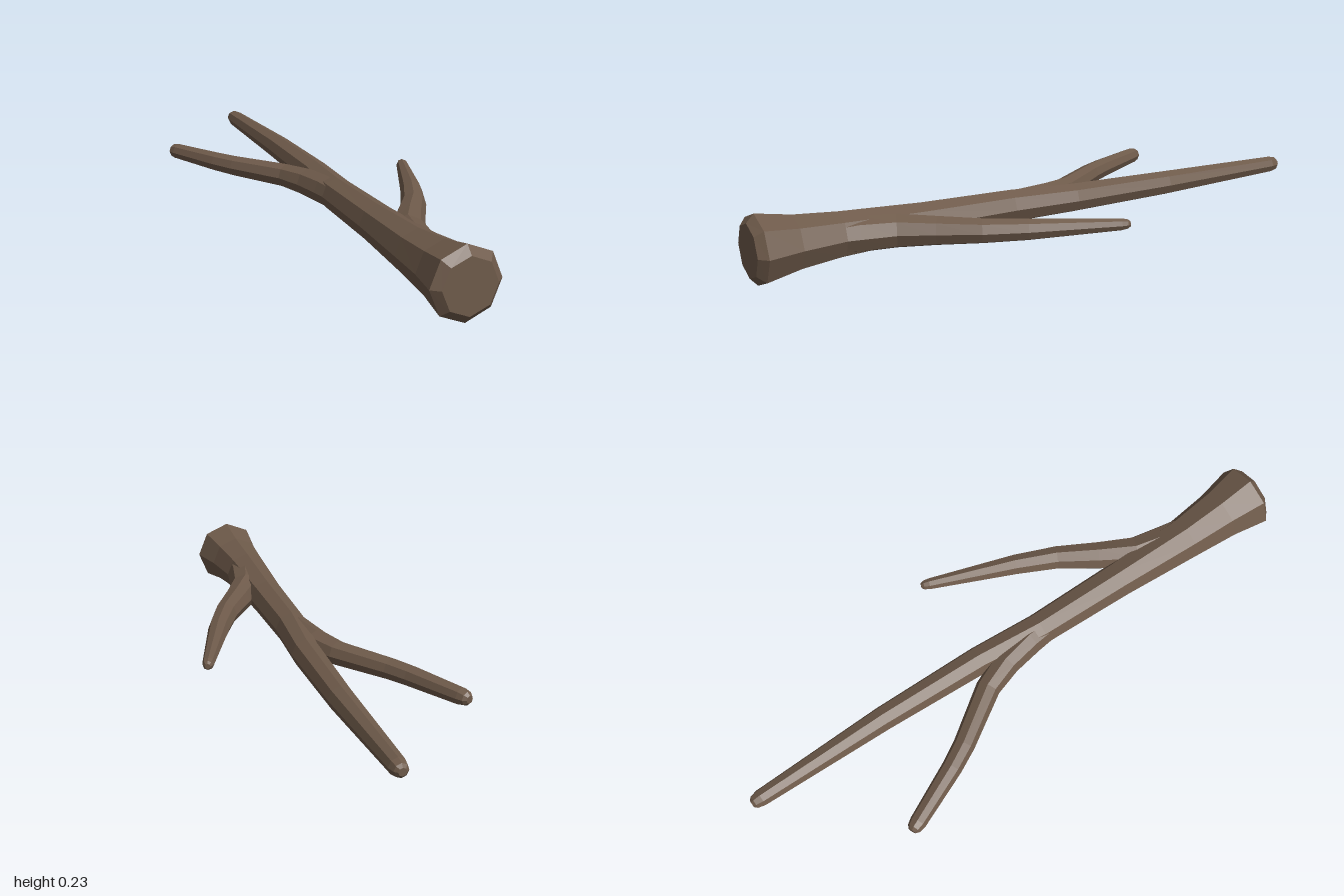
import * as THREE from 'three';

const SIDES = 8;
const AXIS_Y = 0.116;

// Faceted limb lofted through rings given as [x, z, radius], capped at both ends.
function limb(name, rings, material) {
  const centres = rings.map(([x, z]) => new THREE.Vector3(x, AXIS_Y, z));
  const positions = [];
  const index = [];
  rings.forEach(([x, z, r], i) => {
    const d = centres[Math.min(i + 1, rings.length - 1)].clone()
      .sub(centres[Math.max(i - 1, 0)]).normalize();
    for (let k = 0; k < SIDES; k++) {
      const a = (k / SIDES) * Math.PI * 2;
      const side = Math.cos(a) * r;
      positions.push(x - d.z * side, AXIS_Y + Math.sin(a) * r, z + d.x * side);
    }
  });
  for (let i = 0; i < rings.length - 1; i++) {
    for (let k = 0; k < SIDES; k++) {
      const a = i * SIDES + k;
      const b = i * SIDES + ((k + 1) % SIDES);
      index.push(a, a + SIDES, b, b, a + SIDES, b + SIDES);
    }
  }
  const last = (rings.length - 1) * SIDES;
  for (let k = 1; k < SIDES - 1; k++) {
    index.push(0, k, k + 1, last, last + k + 1, last + k);
  }
  const geometry = new THREE.BufferGeometry();
  geometry.setAttribute('position', new THREE.Float32BufferAttribute(positions, 3));
  geometry.setIndex(index);
  geometry.computeVertexNormals();
  const mesh = new THREE.Mesh(geometry, material);
  mesh.name = name;
  return mesh;
}

export function createModel() {
  const group = new THREE.Group();
  group.name = 'branch';
  const bark = new THREE.MeshStandardMaterial({ color: 0x6e5a4a, flatShading: true });

  // Main stem: flared, bevelled cut end tapering to a rounded tip
  group.add(limb('mainStem', [
    [-0.025, 0.995, 0.088], [-0.025, 0.97, 0.115], [-0.028, 0.85, 0.091],
    [-0.03, 0.7, 0.076], [-0.022, 0.42, 0.062], [-0.013, 0.1, 0.056],
    [0.012, -0.13, 0.049], [0.027, -0.5, 0.042], [0.031, -0.965, 0.029],
    [0.031, -0.99, 0.023], [0.031, -1.0, 0.013],
  ], bark));

  // Side twig on the model's left
  group.add(limb('leftTwig', [
    [-0.02, 0.78, 0.05], [-0.005, 0.65, 0.06], [0.025, 0.53, 0.056],
    [0.09, 0.42, 0.048], [0.165, 0.3, 0.041], [0.225, 0.17, 0.036],
    [0.335, -0.11, 0.02], [0.342, -0.128, 0.016], [0.345, -0.137, 0.009],
  ], bark));

  // Side twig on the model's right
  group.add(limb('rightTwig', [
    [-0.014, 0.2, 0.045], [-0.026, 0.05, 0.05], [-0.047, -0.06, 0.047],
    [-0.085, -0.16, 0.041], [-0.2, -0.335, 0.036], [-0.24, -0.41, 0.034],
    [-0.325, -0.598, 0.028], [-0.334, -0.62, 0.023], [-0.338, -0.63, 0.013],
  ], bark));

  return group;
}
